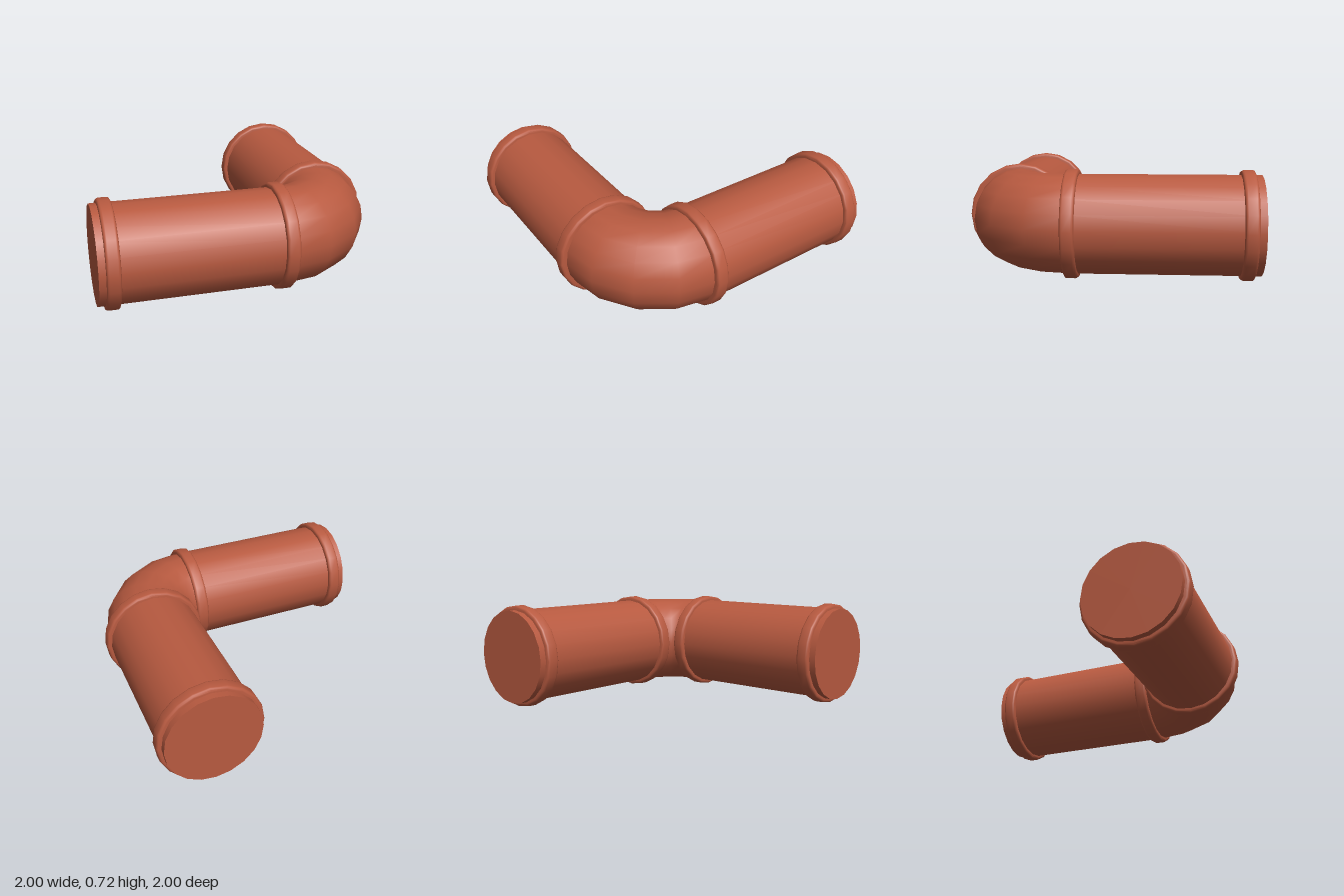
import * as THREE from 'three';
import { toCreasedNormals } from 'three/addons/utils/BufferGeometryUtils.js';

const SIDES = 20;
const PIPE_R = 0.327;   // pipe radius
const BAND_R = 0.358;   // collar radius
const BAND_W = 0.09;    // collar width
const JOINT = 0.22;     // where a straight pipe meets the elbow
const AXIS = 0.637;     // distance of each pipe axis from the centre

const material = new THREE.MeshStandardMaterial({ color: 0xb85a40 });

function addMesh(parent, name, geometry) {
  const mesh = new THREE.Mesh(geometry, material);
  mesh.name = name;
  parent.add(mesh);
  return mesh;
}

// Raised collar with rounded rims, its axis along x
function bandGeometry() {
  const r = 0.018, inner = PIPE_R - 0.02, h = BAND_W / 2;
  const points = [new THREE.Vector2(inner, -h)];
  for (const side of [-1, 1]) {
    for (let i = 0; i <= 3; i++) {
      const a = side < 0 ? -Math.PI / 2 + (i / 3) * Math.PI / 2 : (i / 3) * Math.PI / 2;
      points.push(new THREE.Vector2(
        BAND_R - r + r * Math.cos(a), side * (h - r) + r * Math.sin(a)));
    }
  }
  points.push(new THREE.Vector2(inner, h));
  const lathe = new THREE.LatheGeometry(points, SIDES);
  return toCreasedNormals(lathe, 0.7).rotateZ(Math.PI / 2);
}

// Straight capped pipe along x with a collar near each end
function createArm(name) {
  const arm = new THREE.Group();
  arm.name = name;
  const length = JOINT + 1;
  const pipe = new THREE.CylinderGeometry(PIPE_R, PIPE_R, length, SIDES).rotateZ(Math.PI / 2);
  addMesh(arm, 'straightPipe', pipe).position.x = (JOINT - 1) / 2;
  addMesh(arm, 'endCollar', bandGeometry()).position.x = -0.91;
  addMesh(arm, 'jointCollar', bandGeometry()).position.x = JOINT;
  return arm;
}

export function createModel() {
  const model = new THREE.Group();
  model.name = 'elbowPipe';

  // Two arms at right angles
  const frontArm = createArm('frontArm');
  frontArm.position.set(0, BAND_R, AXIS);
  const leftArm = createArm('leftArm');
  leftArm.position.set(AXIS, BAND_R, 0);
  leftArm.rotation.y = -Math.PI / 2;
  model.add(frontArm, leftArm);

  // Quarter-turn elbow in four segments
  const bend = new THREE.TorusGeometry(AXIS - JOINT, PIPE_R, SIDES, 4, Math.PI / 2);
  bend.rotateX(Math.PI / 2);
  addMesh(model, 'elbow', bend).position.set(JOINT, BAND_R, JOINT);

  return model;
}
